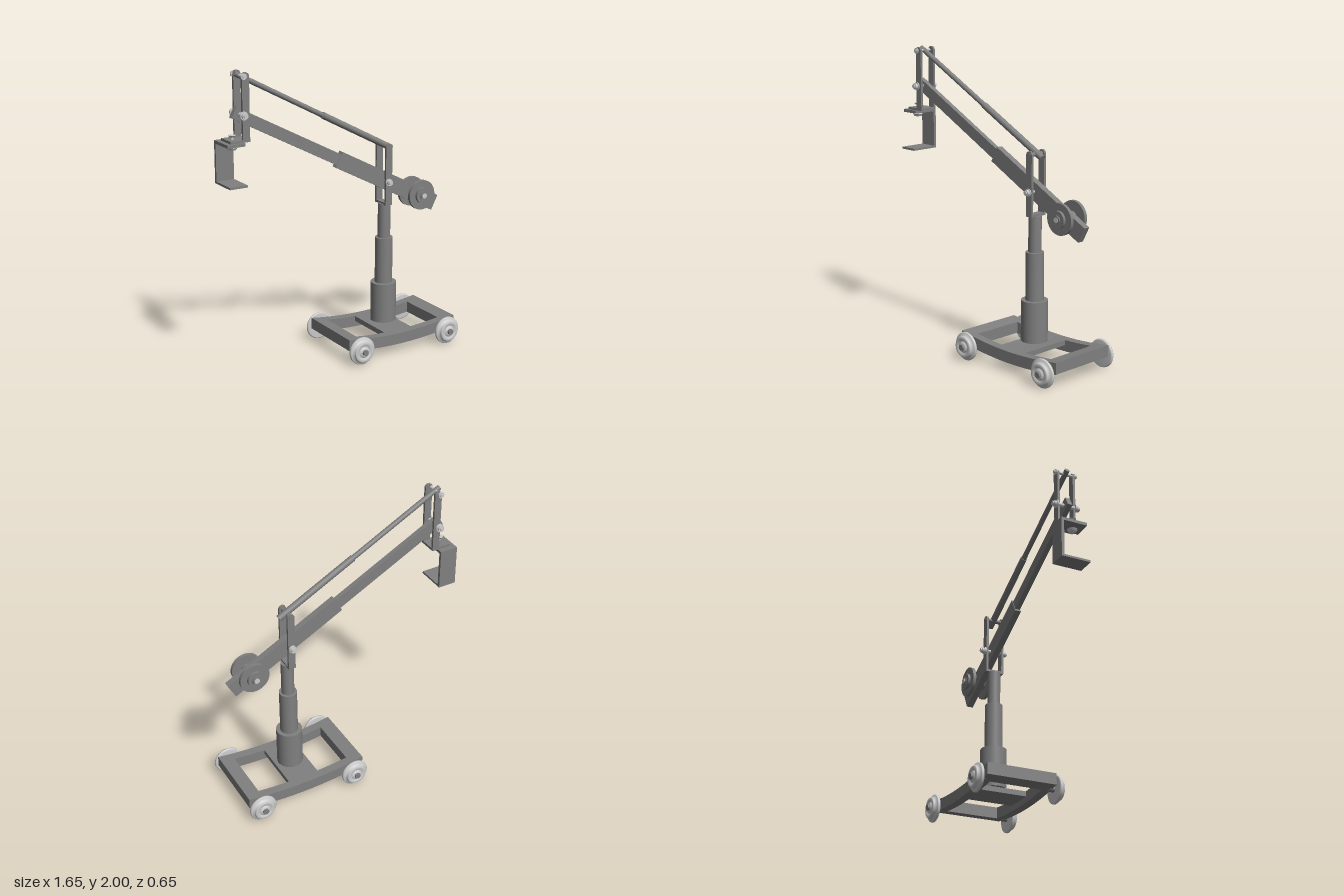
import * as THREE from 'three';

const dark = new THREE.MeshStandardMaterial({ color: 0x808080 });
const light = new THREE.MeshStandardMaterial({ color: 0xcccccc });
const MID = -0.013; // z of the arm's plane

export function createModel() {
  const model = new THREE.Group();

  const add = (name, geo, x = 0, y = 0, z = 0, material = dark, parent = model) => {
    const m = new THREE.Mesh(geo, material);
    m.name = name;
    m.position.set(x, y, z);
    parent.add(m);
    return m;
  };
  // box given by its limits
  const box = (name, x0, x1, y0, y1, z0, z1) =>
    add(name, new THREE.BoxGeometry(x1 - x0, y1 - y0, z1 - z0), (x0 + x1) / 2, (y0 + y1) / 2, (z0 + z1) / 2);
  // cylinder lying along z, between z0 and z1
  const pin = (name, r, x, y, z0, z1, material, sides = 32) => {
    const m = add(name, new THREE.CylinderGeometry(r, r, z1 - z0, sides), x, y, (z0 + z1) / 2, material);
    m.rotation.x = Math.PI / 2;
  };

  // Base frame: every member follows one sagging curve
  const CX = 0.383;
  const sag = x => 0.143 + 0.035 * ((x - CX) / 0.432) ** 2;
  const slab = (name, x0, x1, z0, z1, thickness = 0.077) => {
    const n = 16, top = [], bottom = [];
    for (let i = 0; i <= n; i++) {
      const x = x0 + (x1 - x0) * i / n;
      bottom.push(new THREE.Vector2(x, sag(x) - thickness));
      top.unshift(new THREE.Vector2(x, sag(x)));
    }
    const shape = new THREE.Shape([...bottom, ...top]);
    add(name, new THREE.ExtrudeGeometry(shape, { depth: z1 - z0, bevelEnabled: false }), 0, 0, z0);
  };
  slab('sideRail', -0.05, 0.815, 0.18, 0.24);
  slab('sideRail', -0.05, 0.815, -0.245, -0.185);
  slab('crossBar', -0.05, 0.044, -0.185, 0.18);
  slab('crossBar', 0.718, 0.815, -0.185, 0.18);
  slab('centrePlate', 0.27, 0.49, -0.185, 0.18, 0.035);

  // Wheels: flanged disc, raised rim step, recessed face, axle
  const wheelProfile = [
    [0.02, 0.262], [0.086, 0.262], [0.094, 0.267], [0.095, 0.272], [0.095, 0.28], [0.09, 0.286], [0.072, 0.288],
    [0.072, 0.304], [0.067, 0.31], [0.05, 0.31], [0.045, 0.303], [0.034, 0.303], [0.032, 0.312], [0.018, 0.312],
  ].map(([r, h]) => new THREE.Vector2(r, h));
  for (const x of [0.03, 0.732]) for (const side of [1, -1]) {
    const wheel = new THREE.Group();
    wheel.name = 'wheel';
    add('wheelDisc', new THREE.LatheGeometry(wheelProfile, 40), 0, 0, 0, light, wheel);
    add('axle', new THREE.CylinderGeometry(0.02, 0.02, 0.1, 20), 0, 0.275, 0, dark, wheel);
    wheel.rotation.x = side * Math.PI / 2;
    wheel.position.set(x, 0.097, -0.003);
    model.add(wheel);
  }

  // Telescopic column
  for (const [r, y0, y1] of [[0.088, 0.165, 0.44], [0.06, 0.44, 0.76], [0.043, 0.76, 1.0]])
    add('columnStage', new THREE.CylinderGeometry(r, r, y1 - y0, 40), CX + 0.002, (y0 + y1) / 2, -0.004);

  // Upright plates with rounded tops, in pairs either side of the arm
  const uprights = (name, x, y0, y1) => {
    const r = 0.025;
    const s = new THREE.Shape();
    s.moveTo(-r, y0);
    s.lineTo(r, y0);
    s.lineTo(r, y1 - r);
    s.absarc(0, y1 - r, r, 0, Math.PI, false);
    s.closePath();
    for (const z of [0.037, -0.075])
      add(name, new THREE.ExtrudeGeometry(s, { depth: 0.016, bevelEnabled: false }), x, 0, z);
  };
  uprights('yokePlate', CX, 0.995, 1.42);
  box('yokeFloor', CX - 0.025, CX + 0.025, 0.995, 1.012, -0.075, 0.053);
  uprights('headPlate', -0.686, 1.565, 1.997);

  // Pivot pins with washers and rounded nuts
  const pivot = (x, y, r, reach) => {
    pin('pivotPin', r * 0.5, x, y, MID - reach, MID + reach, light, 20);
    for (const s of [1, -1]) {
      const zWasher = MID + s * 0.067, zNut = MID + s * (reach - 0.017);
      pin('pivotWasher', r, x, y, zWasher - 0.006, zWasher + 0.006, light);
      pin('pivotNut', r * 0.75, x, y, zNut - 0.009, zNut + 0.009, light, 24);
    }
  };
  pivot(CX - 0.002, 1.155, 0.025, 0.098);
  pivot(-0.703, 1.73, 0.027, 0.098);
  pivot(-0.7, 1.972, 0.02, 0.083);
  pin('yokeTopPin', 0.014, CX, 1.395, MID - 0.066, MID + 0.068, dark, 20);

  // Main arm: wide outer sleeve and slimmer inner section
  const armY = x => 1.748 - 0.5215 * (x + 0.748);
  const bar = (name, x0, x1, height, depth) => {
    const len = Math.hypot(x1 - x0, armY(x1) - armY(x0));
    const mid = (x0 + x1) / 2;
    add(name, new THREE.BoxGeometry(len, height, depth), mid, armY(mid), MID).rotation.z = -Math.atan(0.5215);
  };
  bar('armSleeve', 0.018, 0.797, 0.112, 0.044);
  bar('armInner', -0.744, 0.1, 0.076, 0.034);

  // Parallel levelling rod, two telescoping tubes
  const rodY = x => 1.983 - 0.525 * (x + 0.722);
  const rod = (name, x0, x1, r) => {
    const len = Math.hypot(x1 - x0, rodY(x1) - rodY(x0));
    const m = add(name, new THREE.CylinderGeometry(r, r, len, 24), (x0 + x1) / 2, rodY((x0 + x1) / 2), MID);
    m.rotation.z = Math.PI / 2 - Math.atan(0.525);
  };
  rod('rodInner', -0.73, 0, 0.017);
  rod('rodOuter', -0.098, 0.438, 0.022);

  // Counterweights on the tail of the arm
  const WX = 0.655, WY = 1.028;
  pin('weightAxle', 0.018, WX, WY, MID - 0.106, MID + 0.102, light, 24);
  for (const s of [1, -1]) {
    for (const [name, r, a, b, sides] of [['weightSpacer', 0.035, 0.02, 0.05, 32], ['weightDisc', 0.103, 0.05, 0.072, 40],
      ['weightCollar', 0.056, 0.072, 0.09, 40], ['weightNut', 0.03, 0.09, 0.1, 6]]) {
      const z0 = MID + s * a, z1 = MID + s * b;
      pin(name, r, WX, WY, Math.min(z0, z1), Math.max(z0, z1), dark, sides);
    }
  }

  // Head platform and the C-shaped mount hanging below it
  box('headPlatform', -0.797, -0.661, 1.562, 1.578, -0.075, 0.053);
  box('mountTop', -0.827, -0.703, 1.542, 1.562, -0.113, 0.07);
  box('mountBack', -0.827, -0.703, 1.285, 1.562, -0.113, -0.094);
  box('mountFloor', -0.827, -0.703, 1.285, 1.299, -0.113, 0.088);

  // Clamp screw through the platform
  add('screwShaft', new THREE.CylinderGeometry(0.009, 0.009, 0.095, 16), -0.76, 1.56, 0, light);
  add('screwHead', new THREE.CylinderGeometry(0.025, 0.016, 0.012, 24), -0.76, 1.6, 0, light);
  add('screwNut', new THREE.CylinderGeometry(0.034, 0.024, 0.016, 24), -0.76, 1.522, 0, light);

  return model;
}
